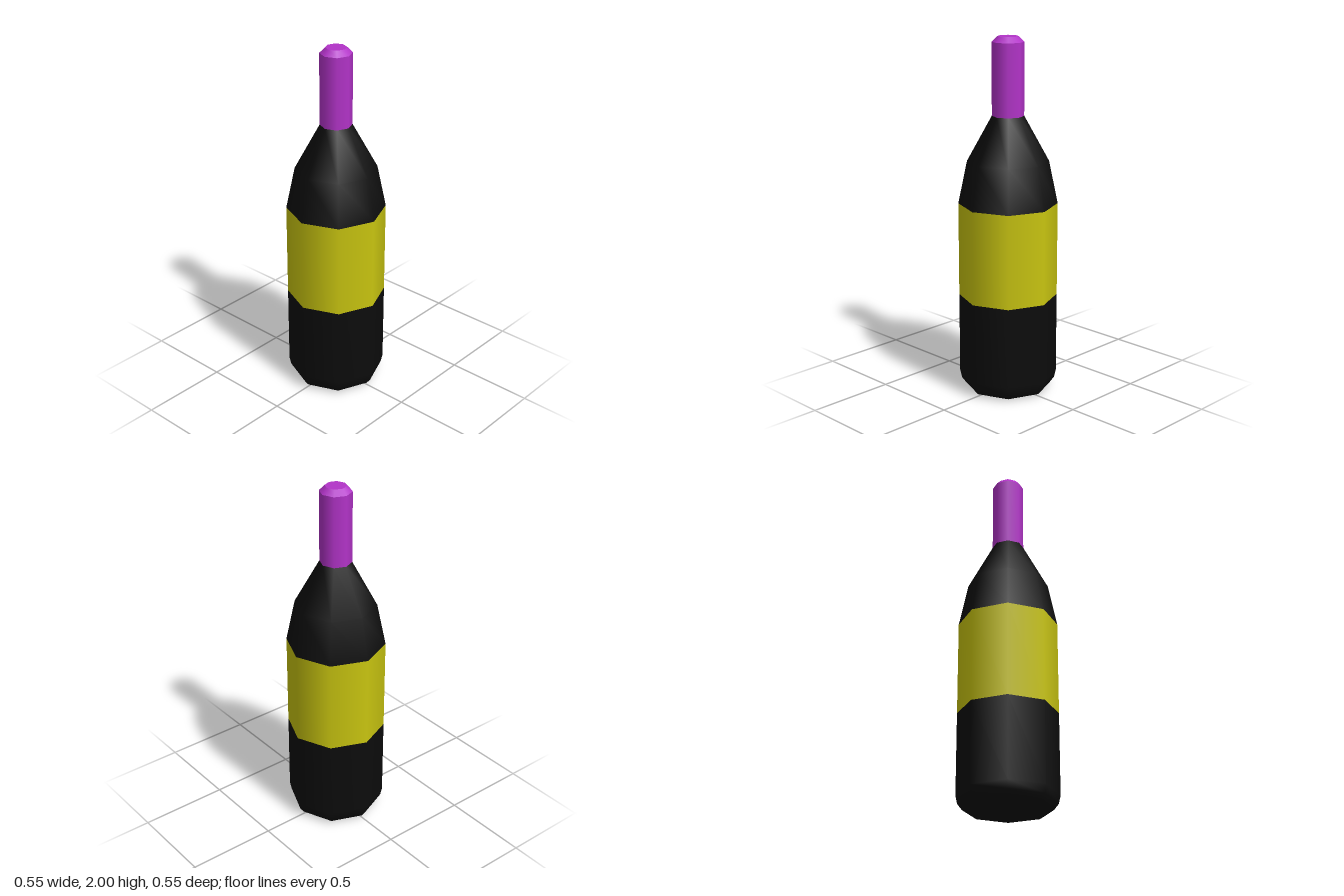
import * as THREE from 'three';

const SIDES = 8;

// Each section is a list of [radius, height] from bottom to top; edges between sections stay sharp.
function turnedPart(name, color, sections) {
  const part = new THREE.Group();
  part.name = name;
  const material = new THREE.MeshStandardMaterial({ color });
  sections.forEach((points, i) => {
    const profile = points.map(([r, y]) => new THREE.Vector2(r, y));
    const mesh = new THREE.Mesh(new THREE.LatheGeometry(profile, SIDES), material);
    mesh.name = `${name}Section${i + 1}`;
    part.add(mesh);
  });
  return part;
}

export function createModel() {
  const bottle = new THREE.Group();
  bottle.name = 'bottle';
  const glass = 0x0c0c0c;

  // Lower glass with a shallow hollow base and rounded foot
  bottle.add(turnedPart('lowerBody', glass, [[
    [0, 0.03], [0.11, 0.02], [0.17, 0.002], [0.195, 0],
    [0.24, 0.012], [0.265, 0.045], [0.275, 0.09], [0.275, 0.55],
  ]]));

  // Label band, flush with the glass
  bottle.add(turnedPart('label', 0xc8c410, [[[0.275, 0.55], [0.275, 1.08]]]));

  // Shoulder tapering in two steps to the neck
  bottle.add(turnedPart('shoulder', glass, [[[0.275, 1.08], [0.225, 1.32], [0.088, 1.57]]]));

  // Neck foil with a chamfered, flat top
  bottle.add(turnedPart('neckFoil', 0xb233c8, [
    [[0.088, 1.57], [0.088, 1.97]],
    [[0.088, 1.97], [0.058, 2]],
    [[0.058, 2], [0, 2]],
  ]));

  return bottle;
}
